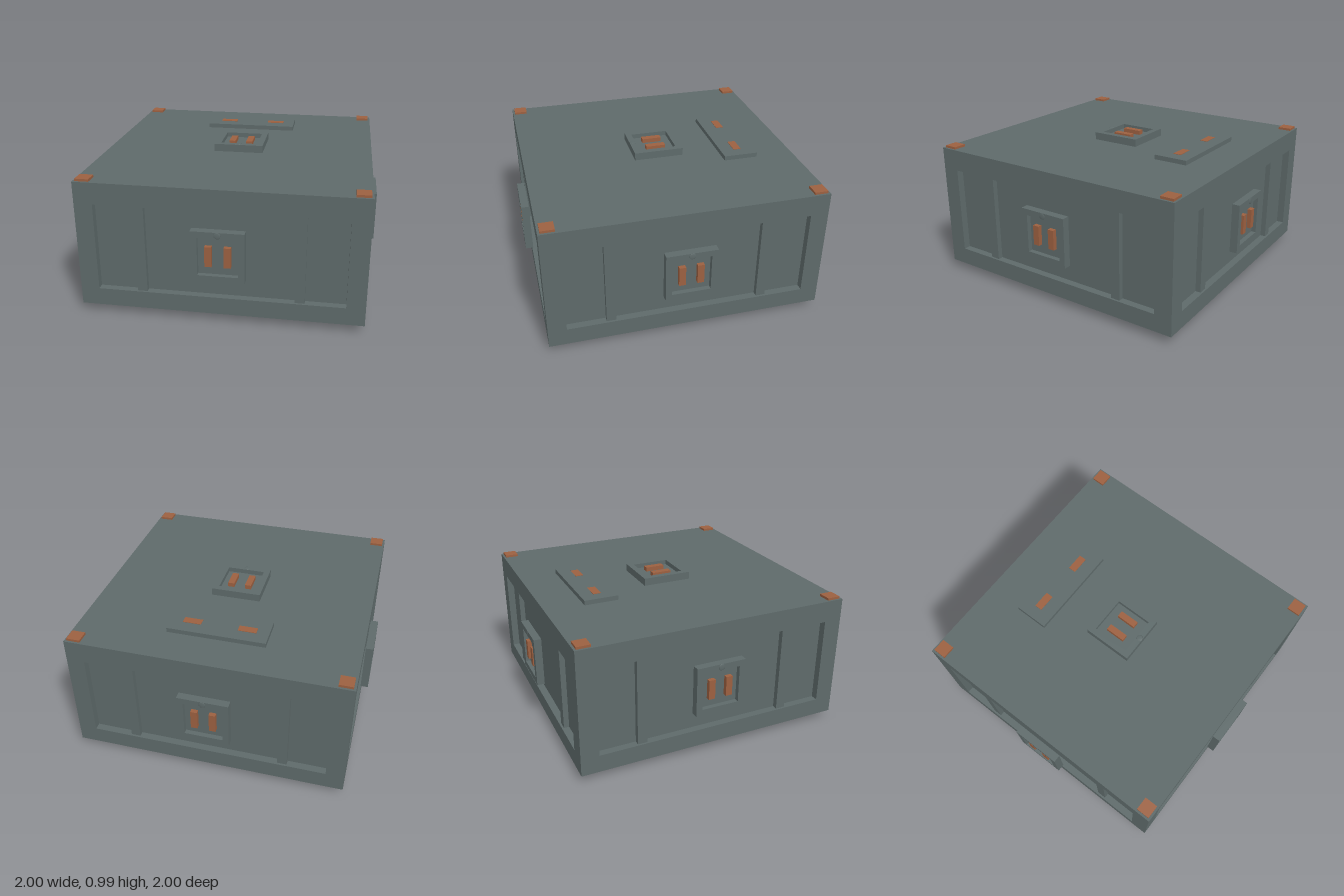
import * as THREE from 'three';

export function createModel() {
  const model = new THREE.Group();
  model.name = 'connectorBlock';
  const steel = new THREE.MeshStandardMaterial({ color: 0x5e6a6a });
  steel.name = 'greySteel';
  const copper = new THREE.MeshStandardMaterial({ color: 0x9c6040 });
  copper.name = 'copper';

  const add = (parent, name, geometry, material, x = 0, y = 0, z = 0) => {
    const mesh = new THREE.Mesh(geometry, material);
    mesh.name = name;
    mesh.position.set(x, y, z);
    parent.add(mesh);
    return mesh;
  };
  const box = (parent, name, material, w, h, d, x, y, z) =>
    add(parent, name, new THREE.BoxGeometry(w, h, d), material, x, y, z);

  // Main dimensions
  const half = 0.944, bottom = 0.062, top = 0.938, mid = 0.5;
  const panelHalf = 0.82, panelLow = 0.183, panelHigh = 0.79, recess = 0.05;
  const panelH = panelHigh - panelLow, panelMid = (panelHigh + panelLow) / 2;

  // Body: top and bottom slabs, corner posts and a recessed core
  const body = new THREE.Group();
  body.name = 'body';
  model.add(body);
  box(body, 'topSlab', steel, 2 * half, top - panelHigh, 2 * half, 0, (top + panelHigh) / 2, 0);
  box(body, 'bottomSlab', steel, 2 * half, panelLow - bottom, 2 * half, 0, (bottom + panelLow) / 2, 0);
  box(body, 'recessedCore', steel, 2 * (half - recess), panelH, 2 * (half - recess), 0, panelMid, 0);

  const post = half - panelHalf;
  for (const sx of [-1, 1]) {
    for (const sz of [-1, 1]) {
      box(body, 'cornerPost', steel, post, panelH, post,
        sx * (half - post / 2), panelMid, sz * (half - post / 2));
      // Copper pads on the roof corners
      box(model, 'cornerPad', copper, 0.092, 0.016, 0.092, sx * 0.883, top + 0.008, sz * 0.883);
    }
  }

  // Two vertical ribs inside each side recess
  for (let i = 0; i < 4; i++) {
    const side = new THREE.Group();
    side.name = 'sideRibs';
    side.rotation.y = i * Math.PI / 2;
    body.add(side);
    for (const s of [-1, 1]) {
      box(side, 'rib', steel, 0.065, panelH, 0.036, s * 0.522, panelMid, half - recess + 0.018);
    }
  }

  // Socket facing +z: square rim, recessed floor, two prongs and a small locating bump
  const square = (PathType, r) => new PathType()
    .moveTo(-r, -r).lineTo(r, -r).lineTo(r, r).lineTo(-r, r).closePath();
  const rimDepth = 0.053;
  const rimShape = square(THREE.Shape, 0.174);
  rimShape.holes.push(square(THREE.Path, 0.131));
  const rimGeometry = new THREE.ExtrudeGeometry(rimShape, { depth: rimDepth, bevelEnabled: false });
  const bumpGeometry = new THREE.SphereGeometry(0.022, 16, 8).scale(1, 1, 0.15);

  const socket = (name, position, rx, ry) => {
    const g = new THREE.Group();
    g.name = name;
    g.position.set(...position);
    g.rotation.set(rx, ry, 0);
    model.add(g);
    add(g, 'socketRim', rimGeometry, steel);
    box(g, 'socketFloor', steel, 0.264, 0.264, 0.02, 0, 0, 0.01);
    for (const s of [-1, 1]) {
      box(g, 'prong', copper, 0.045, 0.138, 0.03, s * 0.062, 0, 0.035);
    }
    add(g, 'locatingBump', bumpGeometry, steel, 0, 0.152, rimDepth);
  };

  const q = Math.PI / 2;
  socket('frontSocket', [0, mid, half], 0, 0);
  socket('backSocket', [0, mid, -half], 0, Math.PI);
  socket('leftSocket', [half, mid, 0], 0, q);
  socket('rightSocket', [-half, mid, 0], 0, -q);
  // Top and bottom sockets, turned so the bumps face front and back
  socket('topSocket', [0, top, 0], q, Math.PI);
  socket('bottomSocket', [0, bottom, 0], -q, Math.PI);

  // Roof plate with two thin copper contacts
  box(model, 'roofPlate', steel, 0.67, 0.032, 0.24, 0, top + 0.016, -0.555);
  for (const s of [-1, 1]) {
    box(model, 'roofContact', copper, 0.125, 0.004, 0.054, s * 0.188, top + 0.033, -0.557);
  }

  return model;
}
